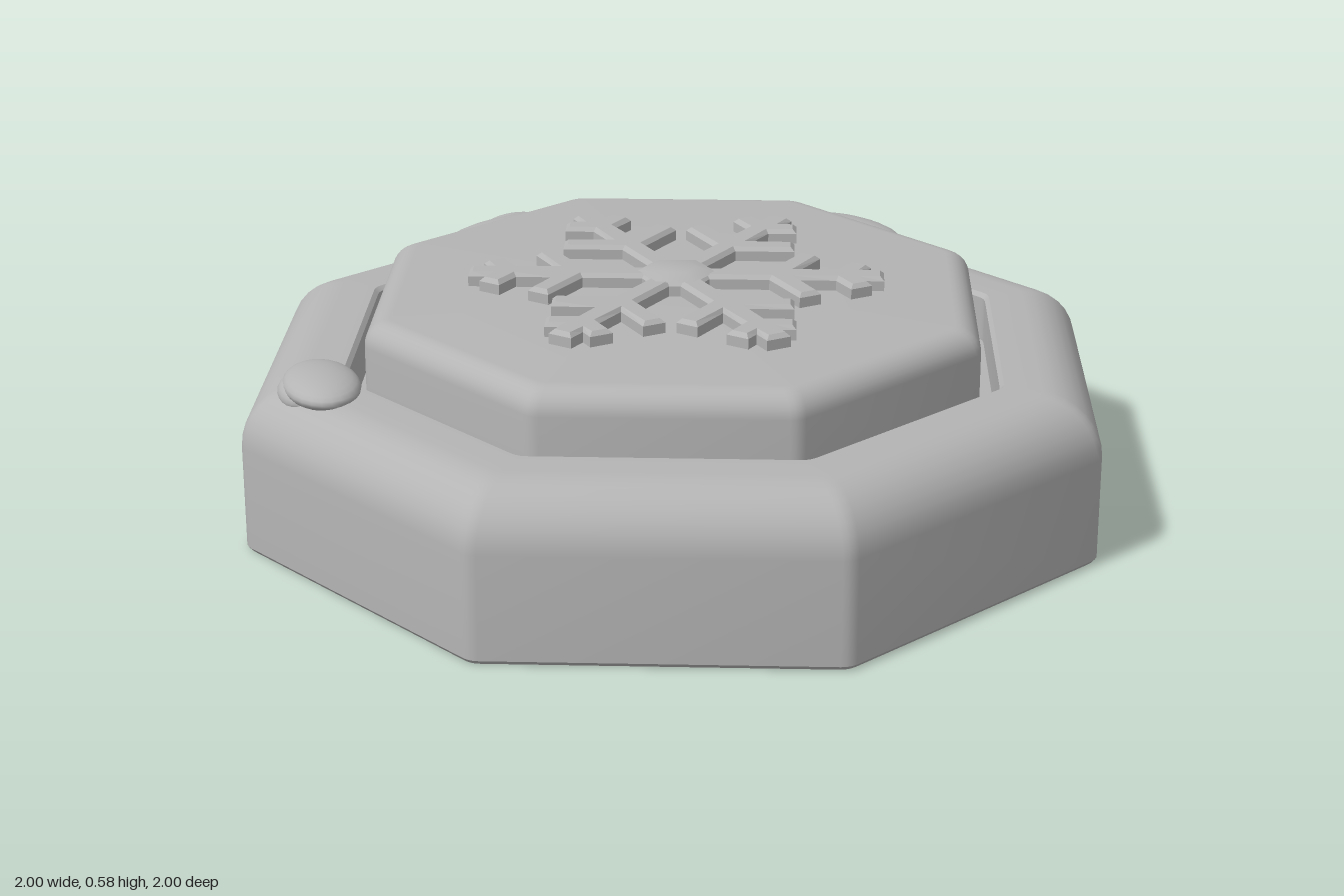
import * as THREE from 'three';
import { toCreasedNormals } from 'three/addons/utils/BufferGeometryUtils.js';

const stone = new THREE.MeshStandardMaterial({ color: 0xb4b4b4 });
stone.name = 'grey stone';

function add(parent, name, geometry) {
  const mesh = new THREE.Mesh(geometry, stone);
  mesh.name = name;
  parent.add(mesh);
  return mesh;
}

// Octagon ring with softly rounded corners; a is the distance to the flats
function octagonRing(a, y) {
  const r = Math.min(0.05, a * 0.1), ring = [];
  for (let k = 0; k < 8; k++) {
    const corner = Math.PI / 8 + k * Math.PI / 4;
    const c = (a - r) / Math.cos(Math.PI / 8);
    for (let s = -1.5; s <= 1.5; s++) {
      const t = corner + s * Math.PI / 12;
      ring.push([c * Math.cos(corner) + r * Math.cos(t), y, c * Math.sin(corner) + r * Math.sin(t)]);
    }
  }
  return ring;
}

// Skin octagon rings along a profile of [distance, height]
function octagonLoft(profile) {
  const rings = profile.map(([a, y]) => octagonRing(a, y));
  const n = rings[0].length, index = [];
  for (let i = 0; i < rings.length - 1; i++) {
    for (let j = 0; j < n; j++) {
      const a = i * n + j, d = i * n + (j + 1) % n;
      index.push(a, a + n, d + n, a, d + n, d);
    }
  }
  const g = new THREE.BufferGeometry();
  g.setAttribute('position', new THREE.Float32BufferAttribute(rings.flat(2), 3));
  g.setIndex(index);
  return toCreasedNormals(g, 0.6);
}

// Quarter round from the side up to the top
function quarterRound(a, y, r, steps = 8) {
  return Array.from({ length: steps + 1 }, (_, i) => {
    const t = i / steps * Math.PI / 2;
    return [a - r + r * Math.cos(t), y - r + r * Math.sin(t)];
  });
}

// Outline of the six-armed crystal, built from one half arm
function snowflakeShape() {
  const h = 0.031, w = 0.029, s60 = Math.sin(Math.PI / 3), slope = h / Math.tan(Math.PI / 3);
  const half = [[0.081, h]];
  for (const [base, length] of [[0.24, 0.165], [0.4, 0.09]]) {
    const x = base + length * 0.5, y = length * s60;
    half.push([base - w / s60 + slope, h], [x - w * s60, y + w * 0.5],
      [x + w * s60, y - w * 0.5], [base + w / s60 + slope, h]);
  }
  half.push([0.5, h]);
  const arm = [...half.map(([x, y]) => [x, -y]), ...half.slice().reverse()];
  const points = [];
  for (let k = 0; k < 6; k++) {
    const t = k * Math.PI / 3;
    for (const [x, y] of arm) points.push(new THREE.Vector2(x, y).rotateAround(new THREE.Vector2(), t));
  }
  return new THREE.Shape(points);
}

export function createModel() {
  const model = new THREE.Group();
  model.name = 'octagonalPlinth';

  // Rounded outer rim with a sunken groove
  add(model, 'baseRim', octagonLoft([
    [0.001, 0], [0.992, 0], [1, 0.01], ...quarterRound(1, 0.4, 0.14),
    [0.775, 0.4], [0.765, 0.39], [0.765, 0.28], [0.001, 0.28],
  ]));

  // Raised centre platform
  add(model, 'platform', octagonLoft([
    [0.72, 0.27], ...quarterRound(0.72, 0.53, 0.06), [0.001, 0.53],
  ]));

  // Raised snowflake with bevelled edges
  const flake = new THREE.ExtrudeGeometry(snowflakeShape(), {
    depth: 0.03, bevelThickness: 0.01, bevelSize: 0.01, bevelOffset: -0.01, bevelSegments: 1,
  });
  flake.rotateX(-Math.PI / 2);
  add(model, 'snowflake', flake).position.y = 0.525;

  // Low hexagonal boss in the snowflake's middle
  const boss = new THREE.CylinderGeometry(0.05, 0.095, 0.012, 6).rotateY(Math.PI / 6);
  add(model, 'snowflakeCentre', toCreasedNormals(boss, 0.3)).position.y = 0.57;

  // Flattened snow clumps on the rim: [x, y, z, half length, half height, half width, turn]
  const clumps = [
    [[-0.42, 0.405, -0.785, 0.235, 0.038, 0.085, 0.53], [-0.46, 0.385, -0.855, 0.1, 0.04, 0.055, 0.4]],
    [[0.42, 0.405, -0.79, 0.175, 0.038, 0.09, -0.62], [0.43, 0.385, -0.85, 0.1, 0.04, 0.055, -0.5]],
    [[-0.81, 0.405, 0.375, 0.14, 0.038, 0.09, -1.25], [-0.86, 0.385, 0.37, 0.09, 0.04, 0.055, -1.35]],
  ];
  clumps.forEach((lobes, i) => {
    const clump = new THREE.Group();
    clump.name = 'snowClump' + (i + 1);
    for (const [x, y, z, l, h, w, turn] of lobes) {
      const lobe = add(clump, 'snowLobe', new THREE.SphereGeometry(1, 24, 14));
      lobe.position.set(x, y, z);
      lobe.scale.set(l, h, w);
      lobe.rotation.y = turn;
    }
    model.add(clump);
  });
  return model;
}
